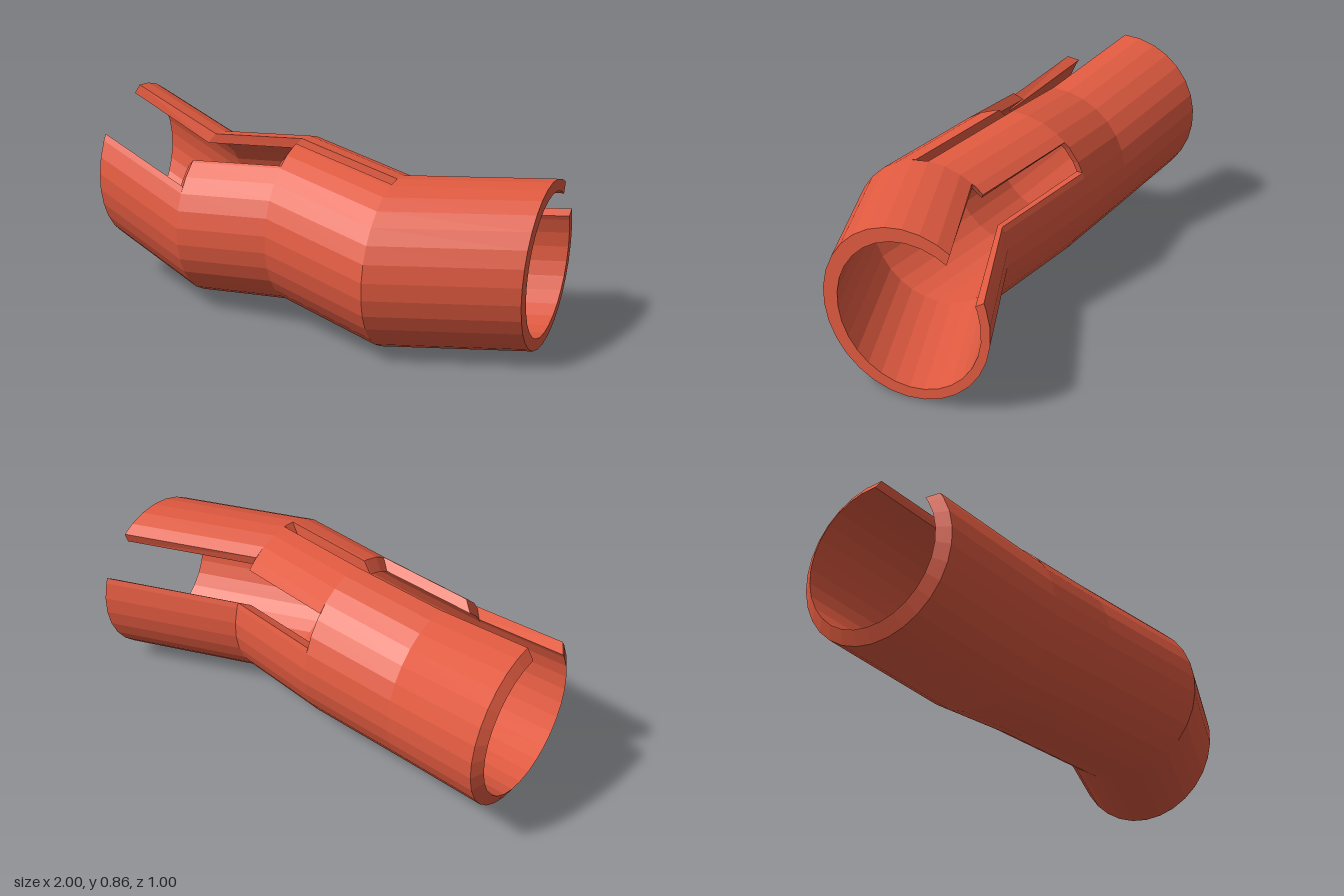
import * as THREE from 'three';

const OUTER = 0.355, INNER = 0.305, STEP = 12;

// Joints of the bent tube: centre of the outer ring and of the inner ring
const joints = [
  { o: [-0.97, 0.513, -0.15], i: [-1.0, 0.52, -0.155] },
  { o: [-0.49, 0.387, 0.002], i: [-0.53, 0.39, 0.0] },
  { o: [-0.07, 0.423, 0.006], i: [-0.11, 0.425, 0.003] },
  { o: [0.42, 0.36, 0.142], i: [0.38, 0.36, 0.136] },
  { o: [1.0, 0.365, -0.069], i: [1.0, 0.361, -0.081] },
];

// Wall arcs of each section in degrees from the top towards the front;
// the gaps between them are the slots
const sections = [
  { name: 'rightEndSection', arcs: [[55, 360]] },
  { name: 'rightMiddleSection', arcs: [[34, 360]] },
  { name: 'leftMiddleSection', arcs: [[9.5, 292], [316.4, 360]] },
  { name: 'leftEndSection', arcs: [[326.5, 652]] },
];

function ringPoint(c, r, deg) {
  const t = THREE.MathUtils.degToRad(deg);
  return [c[0], c[1] + r * Math.cos(t), c[2] + r * Math.sin(t)];
}

// Arc start, every whole step inside it, arc end
function arcAngles([from, to]) {
  const list = [from];
  for (let a = (Math.floor(from / STEP) + 1) * STEP; a < to - 0.01; a += STEP) list.push(a);
  list.push(to);
  return list;
}

// Closed piece of tube wall between two joints
function wallGeometry(a, b, arc) {
  const pos = [];
  const quad = (p, q, r, s) => pos.push(...p, ...q, ...r, ...p, ...r, ...s);
  const cols = arcAngles(arc).map((deg) => ({
    ao: ringPoint(a.o, OUTER, deg), ai: ringPoint(a.i, INNER, deg),
    bo: ringPoint(b.o, OUTER, deg), bi: ringPoint(b.i, INNER, deg),
  }));
  for (let k = 0; k < cols.length - 1; k++) {
    const c = cols[k], d = cols[k + 1];
    quad(c.ao, d.ao, d.bo, c.bo); // outside
    quad(c.ai, c.bi, d.bi, d.ai); // inside
    quad(c.ao, c.ai, d.ai, d.ao); // right end
    quad(c.bo, d.bo, d.bi, c.bi); // left end
  }
  // Cut faces along the slots
  const f = cols[0], l = cols[cols.length - 1];
  quad(f.ao, f.bo, f.bi, f.ai);
  quad(l.ao, l.ai, l.bi, l.bo);
  const g = new THREE.BufferGeometry();
  g.setAttribute('position', new THREE.Float32BufferAttribute(pos, 3));
  g.computeVertexNormals();
  return g;
}

export function createModel() {
  const model = new THREE.Group();
  model.name = 'slottedBentTube';
  const material = new THREE.MeshStandardMaterial({ color: 0xe05a40, flatShading: true });
  sections.forEach(({ name, arcs }, n) => {
    const section = new THREE.Group();
    section.name = name;
    arcs.forEach((arc) => {
      const wall = new THREE.Mesh(wallGeometry(joints[n], joints[n + 1], arc), material);
      wall.name = 'tubeWall';
      section.add(wall);
    });
    model.add(section);
  });
  return model;
}
